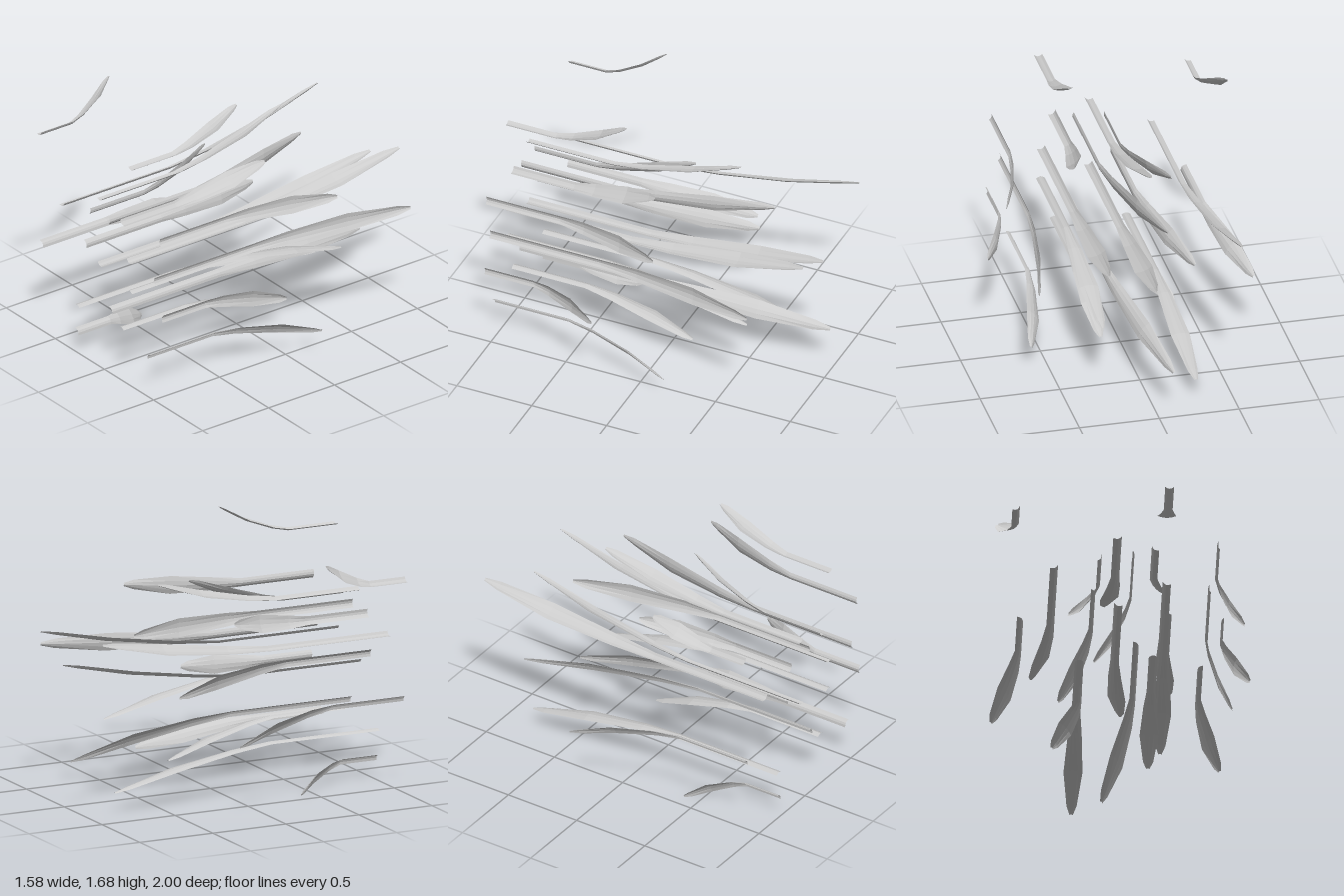
import * as THREE from 'three';

// One blade each: base x, base y, tip x, tip y, tip z (all bases sit at z = 1)
const BLADES = [
  [0.27, 1.49, 0.27, 1.685, 0.2], [-0.66, 1.34, -0.76, 1.51, 0.4],
  [-0.045, 1.15, -0.09, 1.34, -0.4], [0.18, 1.08, 0.29, 1.24, 0],
  [0.565, 1.11, 0.76, 1.135, -0.2], [-0.15, 1.02, -0.32, 1.1, 0],
  [0.05, 1.04, -0.15, 1.06, -0.6], [-0.43, 0.95, -0.515, 1.125, -1],
  [0.25, 0.845, 0.315, 1.03, -1], [0.51, 0.82, 0.7, 0.845, -0.8],
  [-0.045, 0.7, 0.02, 0.885, -1], [-0.19, 0.785, -0.37, 0.7, -0.4],
  [0.59, 0.6, 0.78, 0.57, 0.2], [-0.635, 0.6, -0.785, 0.46, -0.2],
  [0.255, 0.645, 0.255, 0.45, -0.6], [0.07, 0.44, -0.09, 0.31, -1],
  [-0.28, 0.325, -0.28, 0.13, -0.8], [0.17, 0.36, 0.17, 0.165, -0.2],
  [0.45, 0.285, 0.605, 0.15, -0.2], [-0.275, 0.15, -0.43, 0.015, 0.4],
];

// Cross-sections along a blade: fraction of length, fraction of bend, half width
const SECTIONS = [
  [0, 0, 0.027], [0.41, 0, 0.027], [0.55, 0.13, 0.042],
  [0.775, 0.48, 0.058], [0.95, 0.88, 0.031], [1, 1, 0.01],
];

// Shallow channel across the blade: position across, height towards the bend
const CHANNEL = [[-1, 0.007], [-0.5, -0.002], [0, -0.006], [0.5, -0.002], [1, 0.007]];

function bladeGeometry([bx, by, tx, ty, tz]) {
  const length = Math.hypot(tx - bx, ty - by);
  const ux = (tx - bx) / length, uy = (ty - by) / length; // bend direction
  const positions = [], indices = [];
  const n = CHANNEL.length;
  SECTIONS.forEach(([along, bend, half], s) => {
    for (const [across, lift] of CHANNEL) {
      const u = bend * length + lift * (s === SECTIONS.length - 1 ? 0.4 : 1);
      const w = across * half;
      positions.push(bx + ux * u + uy * w, by + uy * u - ux * w, 1 + (tz - 1) * along);
    }
    if (s === 0) return;
    for (let i = 0; i < n - 1; i++) {
      const a = (s - 1) * n + i, b = s * n + i;
      indices.push(a, a + 1, b, a + 1, b + 1, b);
    }
  });
  const geometry = new THREE.BufferGeometry();
  geometry.setAttribute('position', new THREE.Float32BufferAttribute(positions, 3));
  geometry.setIndex(indices);
  geometry.computeVertexNormals();
  return geometry;
}

export function createModel() {
  const group = new THREE.Group();
  group.name = 'leafBlades';
  const material = new THREE.MeshStandardMaterial({
    color: 0xcccccc, flatShading: true, side: THREE.DoubleSide,
  });
  BLADES.forEach((blade, i) => {
    const mesh = new THREE.Mesh(bladeGeometry(blade), material);
    mesh.name = `leafBlade${i + 1}`;
    group.add(mesh);
  });
  return group;
}
